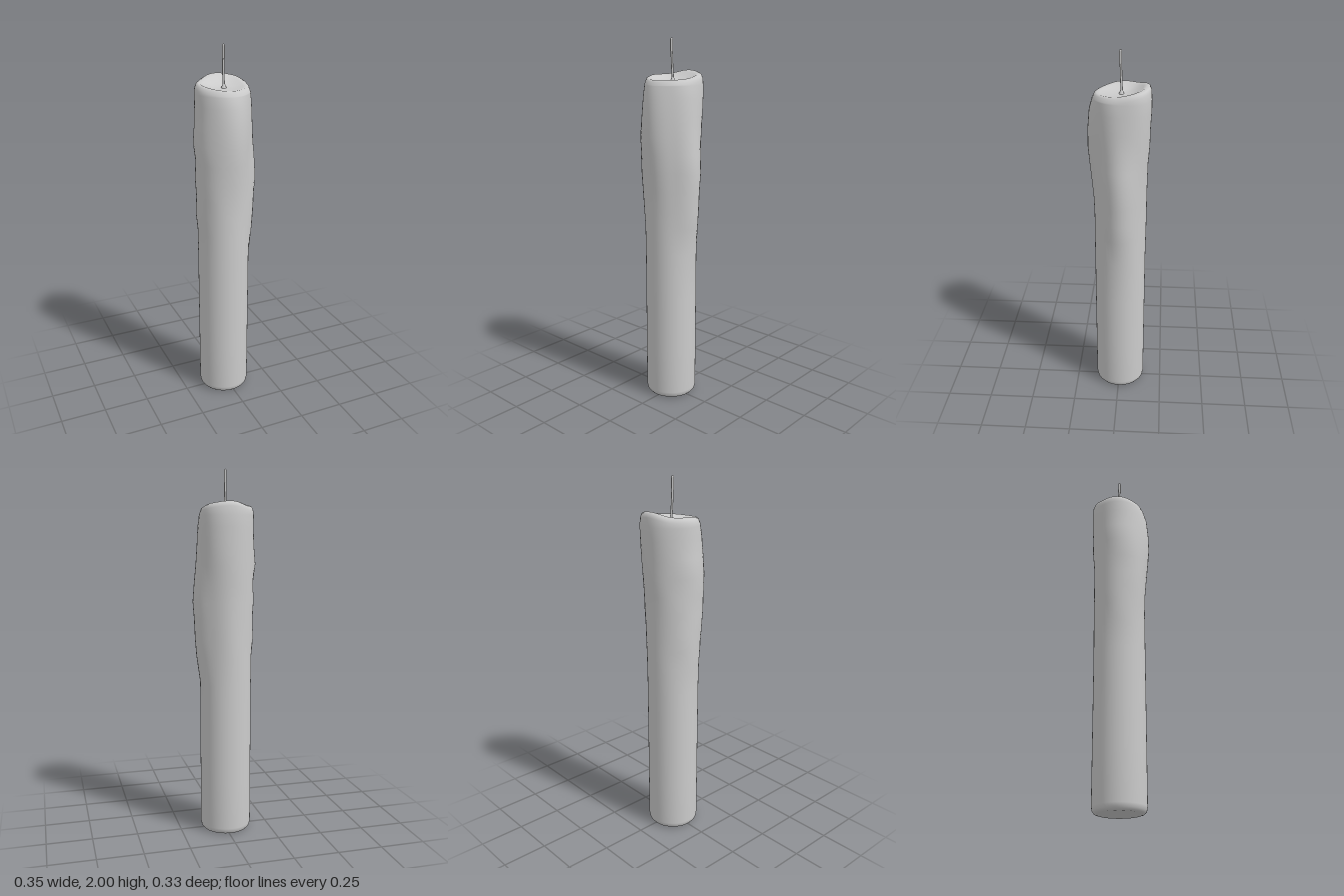
import * as THREE from 'three';
import { mergeVertices } from 'three/addons/utils/BufferGeometryUtils.js';

const CX = -0.01, CZ = -0.005, R = 0.141, SEGMENTS = 48, POOL = 1.778;

// Melted wax thickness by height; eight directions, from +x through +z round to -z
const WAX = [
  [0.85, [0, 0, 0, 0, 0, 0, 0, 0]],
  [1.00, [0.022, 0.002, 0, 0.002, 0.002, 0, 0.002, 0.002]],
  [1.10, [0.030, 0.003, 0, 0.008, 0.014, 0, 0.003, 0.004]],
  [1.20, [0.034, 0.004, 0.003, 0.014, 0.009, 0.002, 0.003, 0.006]],
  [1.30, [0.042, 0.005, 0.012, 0.020, 0.016, 0.004, 0.004, 0.010]],
  [1.40, [0.034, 0.006, 0.022, 0.022, 0.010, 0.005, 0.006, 0.014]],
  [1.50, [0.024, 0.006, 0.031, 0.024, 0.025, 0.007, 0.014, 0.020]],
  [1.60, [0.017, 0.008, 0.029, 0.016, 0.014, 0.008, 0.015, 0.026]],
  [1.70, [0.012, 0.004, 0.020, 0.008, 0.010, 0.008, 0.020, 0.030]],
  [1.76, [0.004, 0, 0.003, 0, 0.010, 0.008, 0.020, 0.030]],
];
// Height of the melted rim in the same directions
const RIM = [1.797, 1.79, 1.787, 1.795, 1.808, 1.812, 1.832, 1.82];
// Rows from the outer edge to the wick: radius scale, drop, share of rim height
const CAP = [[0.98, 0.026, 1], [0.93, 0.007, 1], [0.84, 0, 1], [0.72, 0, 0.75],
  [0.55, 0, 0.4], [0.35, 0, 0.15], [0.15, 0, 0.05], [0, 0, 0]];

// Smooth periodic interpolation round the candle
function around(values, angle) {
  const t = angle / (Math.PI / 4), i = Math.floor(t), f = t - i;
  const [a, b, c, d] = [-1, 0, 1, 2].map(k => values[(i + k + 8) % 8]);
  return b + 0.5 * f * (c - a + f * (2 * a - 5 * b + 4 * c - d + f * (3 * (b - c) + d - a)));
}

function waxGeometry() {
  const rows = [];
  // Rounded foot and straight shaft
  for (const [r, y] of [[0, 0], [0.115, 0], [0.128, 0.004], [0.137, 0.015], [R, 0.035], [R, 0.3], [R, 0.6]])
    rows.push(() => [r, y]);
  // Dripping upper shaft
  for (const [y, wax] of WAX) rows.push(a => [R + around(wax, a), y]);
  // Rolled rim and shallow pool
  const edge = WAX[WAX.length - 1][1];
  for (const [scale, drop, share] of CAP)
    rows.push(a => [scale * (R + around(edge, a)), POOL + (around(RIM, a) - POOL) * share - drop]);

  const geo = new THREE.LatheGeometry(rows.map((_, i) => new THREE.Vector2(1, i)), SEGMENTS);
  const pos = geo.attributes.position;
  for (let i = 0; i < pos.count; i++) {
    const x = pos.getX(i), z = pos.getZ(i);
    let a = Math.atan2(z, x);
    if (a < -1e-6) a += Math.PI * 2;
    a = Math.max(a, 0);
    const [r, y] = rows[Math.round(pos.getY(i))](a);
    pos.setXYZ(i, CX + r * Math.cos(a), y, CZ + r * Math.sin(a));
  }
  geo.deleteAttribute('normal');
  geo.deleteAttribute('uv');
  const merged = mergeVertices(geo, 1e-5);
  merged.computeVertexNormals();
  return merged;
}

export function createModel() {
  const group = new THREE.Group();
  const material = new THREE.MeshStandardMaterial({ color: 0xcccccc });
  const add = (name, geometry) => {
    const mesh = new THREE.Mesh(geometry, material);
    mesh.name = name;
    group.add(mesh);
    return mesh;
  };

  add('waxBody', waxGeometry());

  // Wick, a little bent, with a slightly thicker tip
  const path = new THREE.CatmullRomCurve3([[-0.002, 1.76, -0.012], [-0.005, 1.81, -0.011],
    [-0.008, 1.9, -0.008], [-0.008, 1.992, -0.006]].map(p => new THREE.Vector3(...p)));
  add('wick', new THREE.TubeGeometry(path, 12, 0.006, 10));
  const tip = add('wickTip', new THREE.CapsuleGeometry(0.008, 0.06, 4, 10));
  tip.scale.x = 0.85;
  tip.position.set(-0.008, 1.962, -0.006);

  // Small collar of wax at the foot of the wick
  const collar = add('wickCollar', new THREE.CylinderGeometry(0.006, 0.016, 0.025, 12, 1, true));
  collar.position.set(-0.004, 1.786, -0.011);
  return group;
}
